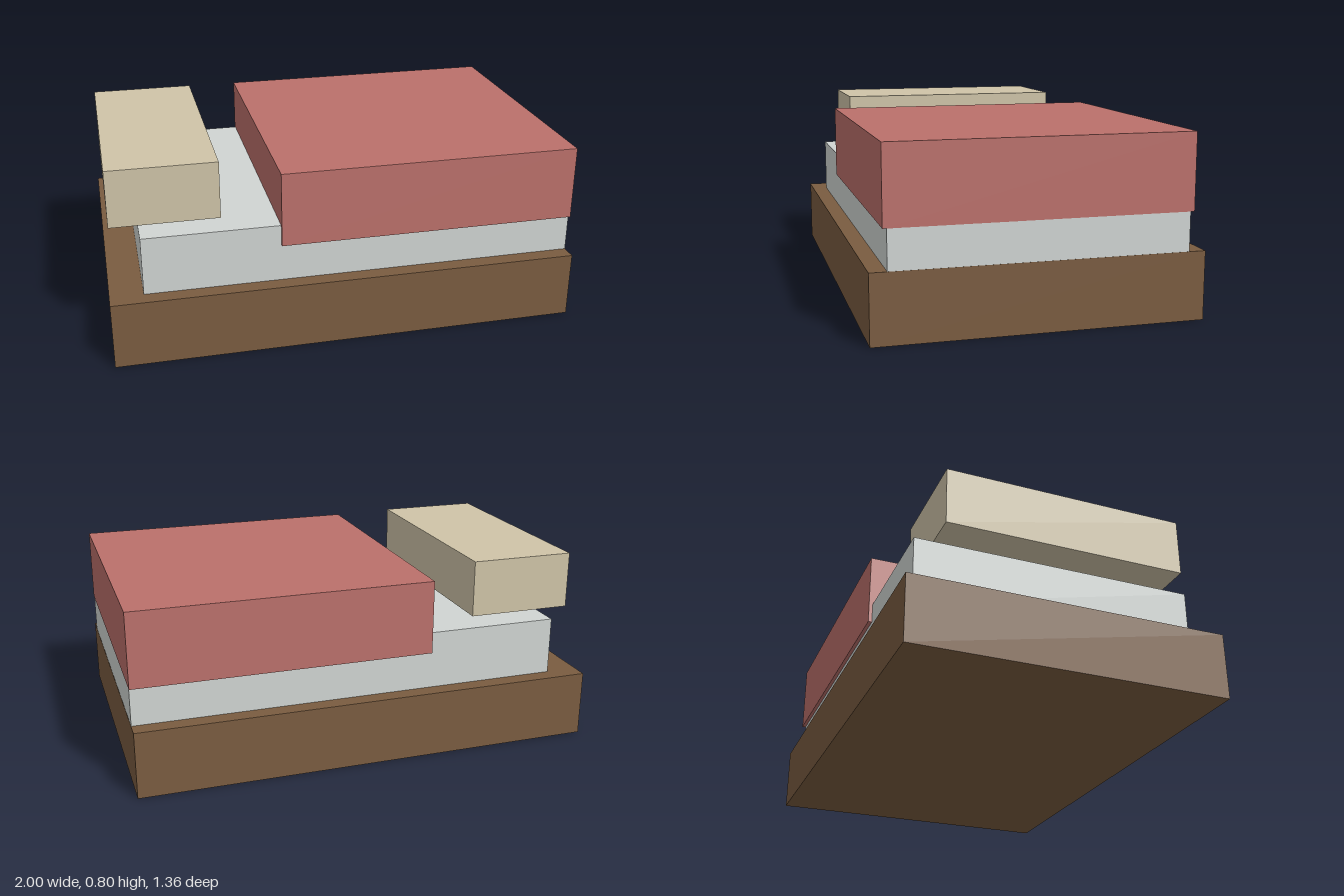
import * as THREE from 'three';

// Box given by its extents; every part is symmetric in z
function block(name, color, [x0, x1], [y0, y1], halfDepth) {
  const mesh = new THREE.Mesh(
    new THREE.BoxGeometry(x1 - x0, y1 - y0, halfDepth * 2),
    new THREE.MeshStandardMaterial({ color })
  );
  mesh.name = name;
  mesh.position.set((x0 + x1) / 2, (y0 + y1) / 2, 0);
  return mesh;
}

export function createModel() {
  const bed = new THREE.Group();
  bed.name = 'bed';
  bed.add(
    // Wooden base
    block('bedFrame', 0x7a5c40, [-1, 1], [0, 0.287], 0.68),
    // Mattress, sunk slightly into the base and under the blanket
    block('mattress', 0xd0d5d3, [-0.86, 0.999], [0.25, 0.537], 0.61),
    // Blanket over the foot end
    block('blanket', 0xbb706b, [-0.285, 1], [0.45, 0.77], 0.626),
    // Pillow at the head end, a little above the mattress
    block('pillow', 0xcfc4a8, [-0.98, -0.52], [0.556, 0.804], 0.52)
  );
  return bed;
}
